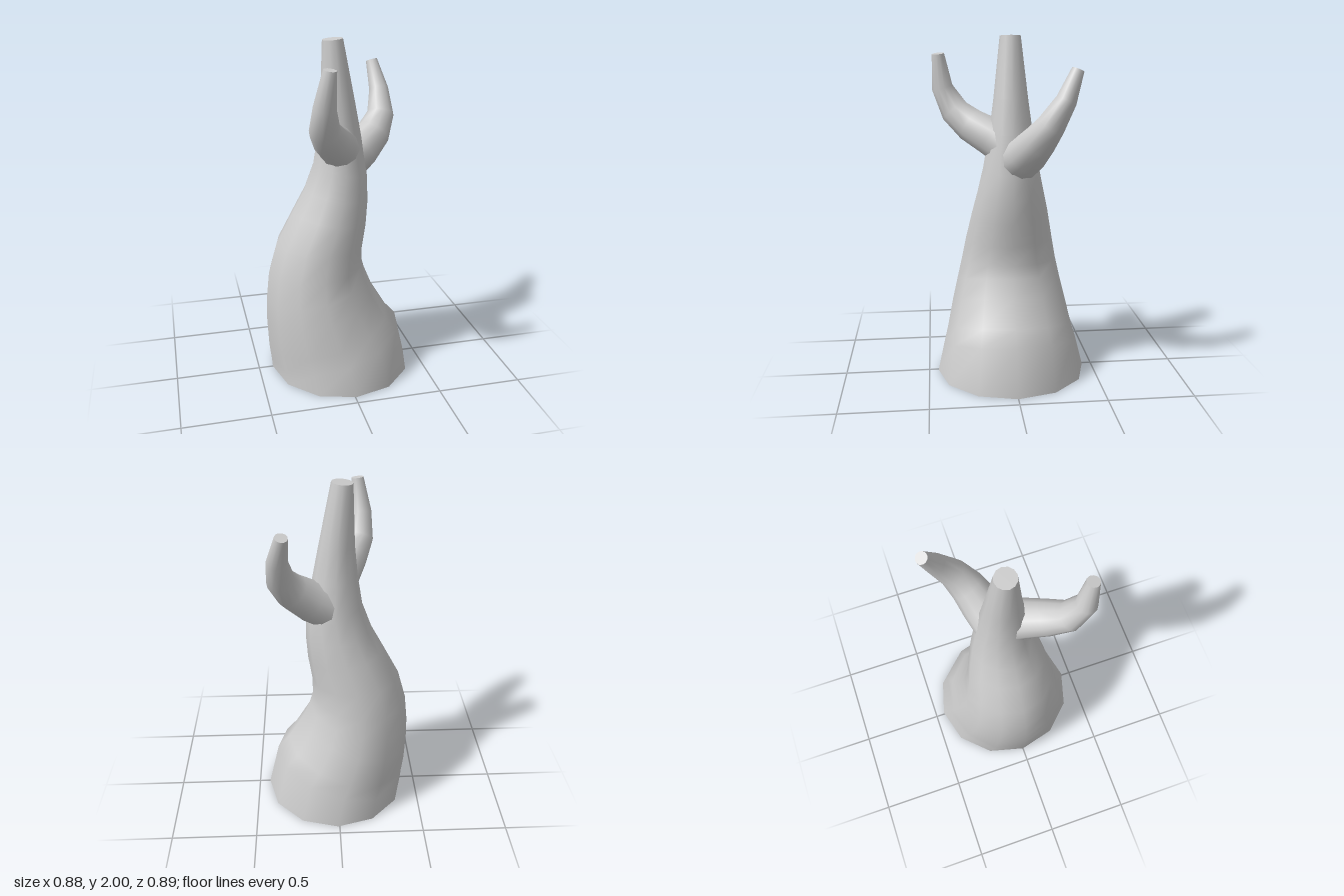
import * as THREE from 'three';

const SIDES = 12;
const V = (x, y, z) => new THREE.Vector3(x, y, z);

// Skin a row of elliptical rings {c, u, v}; smooth sides, open start, flat cap at the end
function loft(rings) {
  const pos = [], index = [];
  const addRing = ({ c, u, v }) => {
    for (let k = 0; k < SIDES; k++) {
      const a = (k / SIDES) * Math.PI * 2;
      const p = c.clone().addScaledVector(u, Math.cos(a)).addScaledVector(v, Math.sin(a));
      pos.push(p.x, p.y, p.z);
    }
  };
  rings.forEach(addRing);
  for (let i = 0; i < rings.length - 1; i++) {
    for (let k = 0; k < SIDES; k++) {
      const a = i * SIDES + k, b = i * SIDES + (k + 1) % SIDES;
      index.push(a, a + SIDES, b, b, a + SIDES, b + SIDES);
    }
  }
  // the cap has its own vertices so its rim stays sharp
  const end = rings[rings.length - 1], base = rings.length * SIDES;
  addRing(end);
  pos.push(end.c.x, end.c.y, end.c.z);
  for (let k = 0; k < SIDES; k++) index.push(base + SIDES, base + (k + 1) % SIDES, base + k);

  const geo = new THREE.BufferGeometry();
  geo.setAttribute('position', new THREE.Float32BufferAttribute(pos, 3));
  geo.setIndex(index);
  geo.computeVertexNormals();
  return geo;
}

// Trunk rings: right-hand and left-hand silhouette points and the half depth
function trunkRings(rows) {
  return rows.map(([lx, ly, rx, ry, depth]) => ({
    c: V((lx + rx) / 2, (ly + ry) / 2, 0),
    u: V((rx - lx) / 2, (ry - ly) / 2, 0),
    v: V(0, 0, depth),
  }));
}

// Branch rings: round sections square to a path of [x, y, z, radius]
function branchRings(path) {
  const pts = path.map(([x, y, z]) => V(x, y, z));
  const last = pts.length - 1;
  const run = pts[last].clone().sub(pts[0]);
  const side = V(run.z, 0, -run.x).normalize();
  return pts.map((c, i) => {
    const t = pts[Math.min(i + 1, last)].clone().sub(pts[Math.max(i - 1, 0)]).normalize();
    const u = side.clone().addScaledVector(t, -side.dot(t)).normalize();
    const v = u.clone().cross(t);
    return { c, u: u.multiplyScalar(path[i][3]), v: v.multiplyScalar(path[i][3]) };
  });
}

export function createModel() {
  const group = new THREE.Group();
  group.name = 'branchingTrunk';
  const material = new THREE.MeshStandardMaterial({ color: 0xcccccc, side: THREE.DoubleSide });
  const add = (name, rings) => {
    const mesh = new THREE.Mesh(loft(rings), material);
    mesh.name = name;
    group.add(mesh);
  };

  // Swaying, tapering trunk, open underneath
  add('trunk', trunkRings([
    [-0.415, 0, 0.435, 0, 0.445],
    [-0.42, 0.06, 0.37, 0.28, 0.405],
    [-0.432, 0.16, 0.30, 0.36, 0.38],
    [-0.44, 0.33, 0.21, 0.51, 0.345],
    [-0.438, 0.47, 0.165, 0.62, 0.315],
    [-0.42, 0.64, 0.145, 0.69, 0.288],
    [-0.37, 0.82, 0.148, 0.80, 0.26],
    [-0.27, 1.01, 0.17, 0.94, 0.226],
    [-0.20, 1.14, 0.18, 1.08, 0.194],
    [-0.145, 1.29, 0.175, 1.22, 0.162],
    [-0.118, 1.46, 0.138, 1.45, 0.126],
    [-0.10, 1.64, 0.10, 1.65, 0.10],
    [-0.088, 1.99, 0.03, 2.0, 0.06],
  ]));

  // Branch reaching forward
  add('frontBranch', branchRings([
    [0.02, 1.36, 0, 0.122],
    [-0.03, 1.425, 0.11, 0.112],
    [-0.09, 1.485, 0.22, 0.101],
    [-0.145, 1.565, 0.315, 0.085],
    [-0.16, 1.70, 0.385, 0.062],
    [-0.137, 1.895, 0.407, 0.036],
  ]));

  // Branch reaching back and to the left
  add('backBranch', branchRings([
    [0.06, 1.29, -0.035, 0.125],
    [0.15, 1.345, -0.075, 0.117],
    [0.25, 1.43, -0.125, 0.10],
    [0.308, 1.525, -0.185, 0.08],
    [0.318, 1.66, -0.265, 0.058],
    [0.29, 1.82, -0.33, 0.035],
  ]));

  return group;
}
